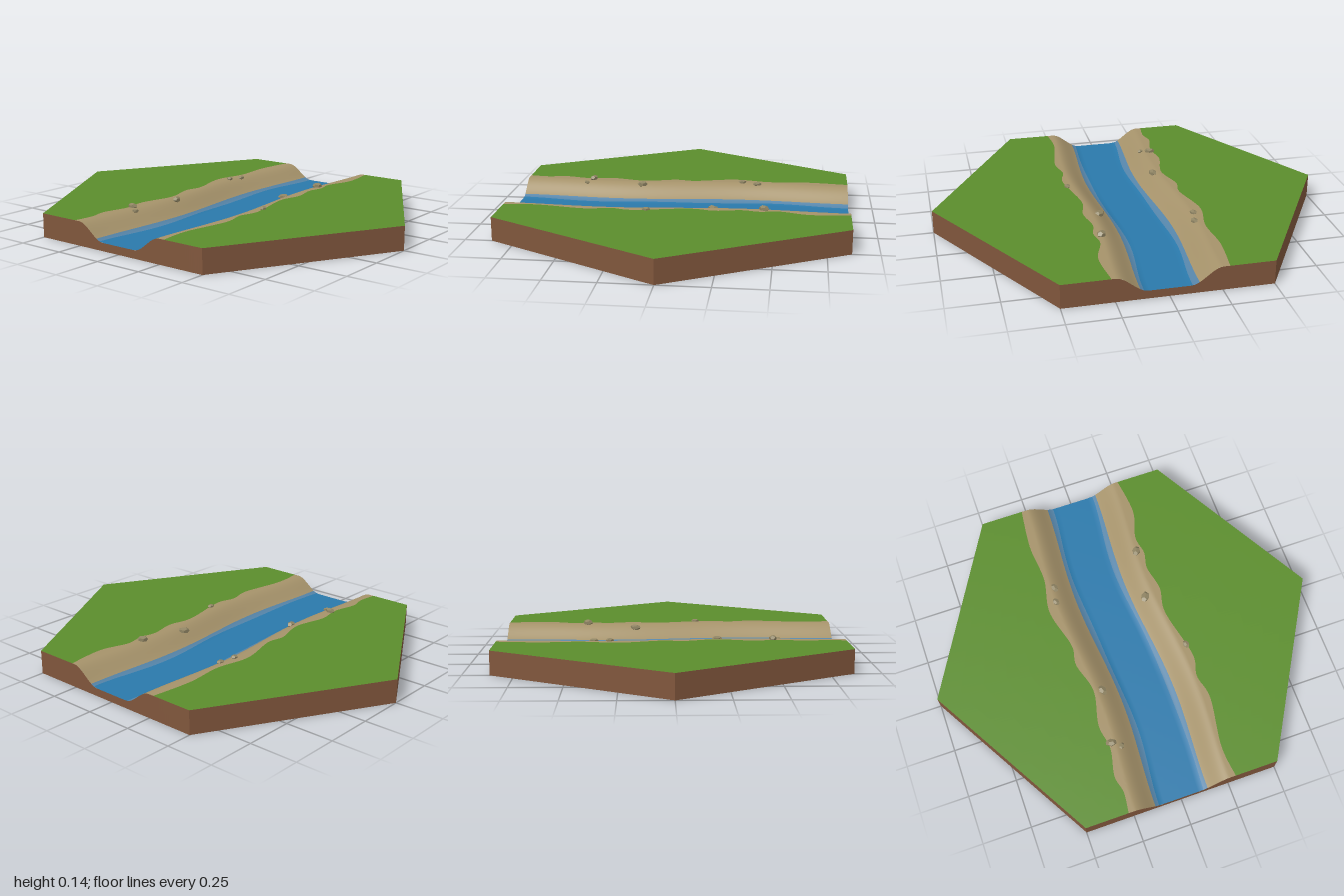
import * as THREE from 'three';

const HALF = Math.sqrt(3) / 2; // half width of the hexagon
const TOP = 0.12, BED = 0.04;

const mat = (name, color, extra = {}) => {
  const m = new THREE.MeshStandardMaterial({ color, ...extra });
  m.name = name;
  return m;
};

// river centre line and the height of the ground
const centre = x => -0.03 * Math.sin(3.6 * x) * (1 - (x / HALF) ** 2);
const height = (x, z) =>
  BED + (TOP - BED) * THREE.MathUtils.smoothstep(Math.abs(z - centre(x)), 0.1, 0.25);

// wavy grass edges as smooth curves through a few x, z points
const edge = pts => {
  const curve = new THREE.SplineCurve(pts.map(([x, z]) => new THREE.Vector2(x, z)));
  const samples = curve.getPoints(200);
  return x => {
    let i = 1;
    while (i < samples.length - 1 && samples[i].x < x) i++;
    const a = samples[i - 1], b = samples[i];
    return THREE.MathUtils.lerp(a.y, b.y, THREE.MathUtils.clamp((x - a.x) / (b.x - a.x), 0, 1));
  };
};
const backGrass = edge([[-HALF, -0.28], [-0.76, -0.268], [-0.67, -0.285], [-0.53, -0.258], [-0.4, -0.275],
  [-0.22, -0.24], [-0.06, -0.28], [0.05, -0.268], [0.26, -0.318], [0.45, -0.288], [0.65, -0.302], [HALF, -0.28]]);
const frontGrass = edge([[-HALF, 0.28], [-0.7, 0.267], [-0.45, 0.305], [-0.32, 0.282], [-0.2, 0.303],
  [0.06, 0.25], [0.2, 0.27], [0.33, 0.246], [0.42, 0.262], [0.52, 0.248], [0.67, 0.288], [HALF, 0.268]]);
const rim = x => 1 - Math.abs(x) * 0.5 / HALF;
const backShore = x => centre(x) - 0.139;
const frontShore = x => centre(x) + 0.137;
const backDeep = x => centre(x) - 0.113 + 0.006 * Math.sin(9 * x);
const frontDeep = x => centre(x) + 0.113 + 0.007 * Math.sin(8 * x + 1);

// a band of ground between two lines, from back to front
function band(name, material, from, to, rows) {
  const cols = 120, e = 0.002, pos = [], nor = [], idx = [];
  for (let i = 0; i <= cols; i++) {
    const x = -HALF + (2 * HALF * i) / cols;
    for (let j = 0; j <= rows; j++) {
      const z = THREE.MathUtils.lerp(from(x), to(x), j / rows);
      pos.push(x, height(x, z), z);
      const n = new THREE.Vector3(
        (height(x - e, z) - height(x + e, z)) / (2 * e), 1,
        (height(x, z - e) - height(x, z + e)) / (2 * e)).normalize();
      nor.push(n.x, n.y, n.z);
      if (i < cols && j < rows) {
        const a = i * (rows + 1) + j, b = a + rows + 1;
        idx.push(a, a + 1, b, a + 1, b + 1, b);
      }
    }
  }
  const g = new THREE.BufferGeometry();
  g.setAttribute('position', new THREE.Float32BufferAttribute(pos, 3));
  g.setAttribute('normal', new THREE.Float32BufferAttribute(nor, 3));
  g.setIndex(idx);
  const mesh = new THREE.Mesh(g, material);
  mesh.name = name;
  return mesh;
}

// earth walls round the hexagon, cut to the river bed at both ends
function walls(material) {
  const ring = [], pos = [];
  for (let k = 0; k < 6; k++) {
    const [a, b] = [k, k + 1].map(n => [Math.sin(n * Math.PI / 3), Math.cos(n * Math.PI / 3)]);
    const steps = k % 3 === 1 ? 80 : 1;
    for (let s = 0; s < steps; s++) {
      ring.push([THREE.MathUtils.lerp(a[0], b[0], s / steps), THREE.MathUtils.lerp(a[1], b[1], s / steps)]);
    }
  }
  ring.forEach(([x, z], i) => {
    const [u, w] = ring[(i + 1) % ring.length];
    const h = height(x, z), k = height(u, w);
    pos.push(x, 0, z, u, 0, w, u, k, w, x, 0, z, u, k, w, x, h, z);
  });
  const g = new THREE.BufferGeometry();
  g.setAttribute('position', new THREE.Float32BufferAttribute(pos, 3));
  g.computeVertexNormals();
  const mesh = new THREE.Mesh(g, material);
  mesh.name = 'earthWalls';
  return mesh;
}

export function createModel() {
  const grass = mat('grass green', 0x5b8d2c);
  const sand = mat('bank sand', 0xa5926a);
  const shallow = mat('shallow blue', 0x5584a8);
  const deep = mat('river blue', 0x2a79ab);
  const earth = mat('earth brown', 0x80563c);
  const stone = mat('stone', 0x8f8463, { flatShading: true });

  const model = new THREE.Group();
  model.name = 'riverTile';

  // ground from back to front
  model.add(
    band('backGrass', grass, x => -rim(x), backGrass, 6),
    band('backBank', sand, backGrass, backShore, 14),
    band('backShallows', shallow, backShore, backDeep, 4),
    band('river', deep, backDeep, frontDeep, 8),
    band('frontShallows', shallow, frontDeep, frontShore, 4),
    band('frontBank', sand, frontShore, frontGrass, 14),
    band('frontGrass', grass, frontGrass, rim, 6),
    walls(earth));

  // underside
  const base = new THREE.Mesh(new THREE.CircleGeometry(1, 6, Math.PI / 2).rotateX(Math.PI / 2), earth);
  base.name = 'underside';
  model.add(base);

  // stones on the banks: x, z, length, width, height, turn
  const rocks = new THREE.Group();
  rocks.name = 'stones';
  const shape = new THREE.DodecahedronGeometry(1, 0);
  [
    [-0.505, -0.245, 0.028, 0.02, 0.016, 1.4],
    [-0.535, -0.2, 0.018, 0.014, 0.01, -0.8],
    [-0.23, -0.195, 0.028, 0.02, 0.016, 0.3],
    [0.305, -0.268, 0.022, 0.017, 0.011, 0.4],
    [0.385, -0.25, 0.025, 0.018, 0.011, 0.2],
    [0.185, 0.185, 0.031, 0.023, 0.016, -0.7],
    [0.44, 0.225, 0.027, 0.022, 0.018, -0.6],
    [-0.14, 0.29, 0.022, 0.017, 0.01, 0.2],
  ].forEach(([x, z, l, w, h, turn]) => {
    const rock = new THREE.Mesh(shape, stone);
    rock.name = 'stone';
    rock.position.set(x, height(x, z) + h * 0.3, z);
    rock.scale.set(l, h, w);
    rock.rotation.y = turn;
    rocks.add(rock);
  });
  model.add(rocks);
  return model;
}
